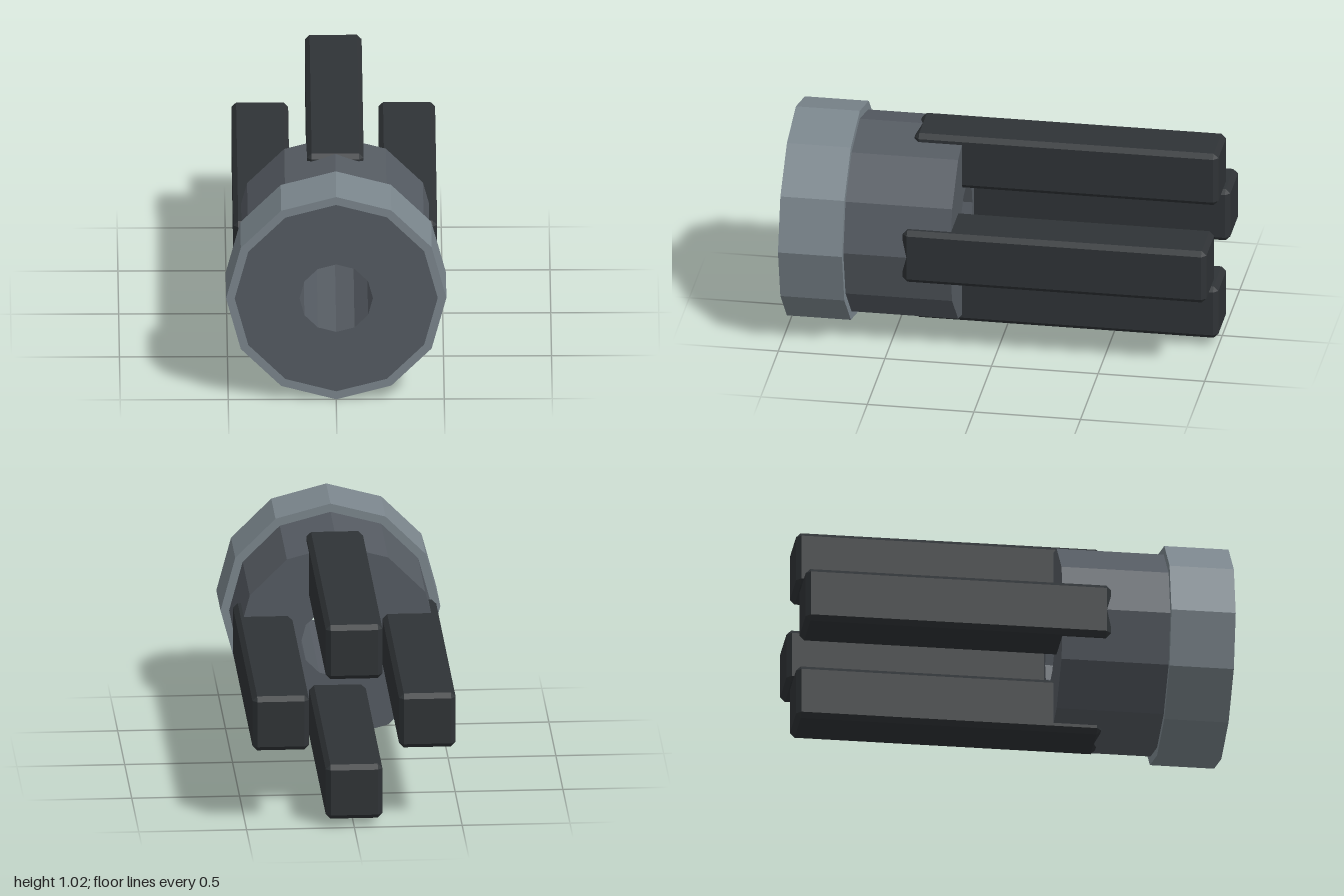
import * as THREE from 'three';
import { ConvexGeometry } from 'three/addons/geometries/ConvexGeometry.js';

const CENTRE_Y = 0.51;

// Twelve-sided tube along z, with a corner at the top
function tube(name, inner, outer, back, front, color) {
  const profile = [[inner, back], [outer, back], [outer, front], [inner, front], [inner, back]]
    .map(([r, z]) => new THREE.Vector2(r, z));
  const geometry = new THREE.LatheGeometry(profile, 12).toNonIndexed();
  geometry.rotateX(Math.PI / 2);
  geometry.computeVertexNormals();
  const mesh = new THREE.Mesh(geometry, new THREE.MeshStandardMaterial({ color, flatShading: true }));
  mesh.name = name;
  mesh.position.y = CENTRE_Y;
  return mesh;
}

// Box with every edge cut by a flat chamfer
function chamferedBox(w, h, d, bevel) {
  const points = [];
  for (const x of [-1, 1]) for (const y of [-1, 1]) for (const z of [-1, 1]) {
    for (let face = 0; face < 3; face++) {
      const half = [w, h, d].map((s, axis) => s / 2 - (axis === face ? 0 : bevel));
      points.push(new THREE.Vector3(x * half[0], y * half[1], z * half[2]));
    }
  }
  return new ConvexGeometry(points);
}

export function createModel() {
  const model = new THREE.Group();

  // Bored body and the wider collar around its front end
  model.add(tube('body', 0.17, 0.47, 0.2, 1, 0x555b62));
  model.add(tube('collar', 0.47, 0.51, 0.7, 1, 0x7b868d));

  // Four prongs sunk into the body, reaching backwards
  const size = 0.263, back = -1, front = 0.425;
  const prongGeometry = chamferedBox(size, size, front - back, 0.022);
  const prongMaterial = new THREE.MeshStandardMaterial({ color: 0x2f3336, flatShading: true });
  ['leftProng', 'topProng', 'rightProng', 'bottomProng'].forEach((name, i) => {
    const angle = i * Math.PI / 2;
    const prong = new THREE.Mesh(prongGeometry, prongMaterial);
    prong.name = name;
    prong.position.set(Math.cos(angle) * 0.34, CENTRE_Y + Math.sin(angle) * 0.34, (front + back) / 2);
    model.add(prong);
  });

  return model;
}
